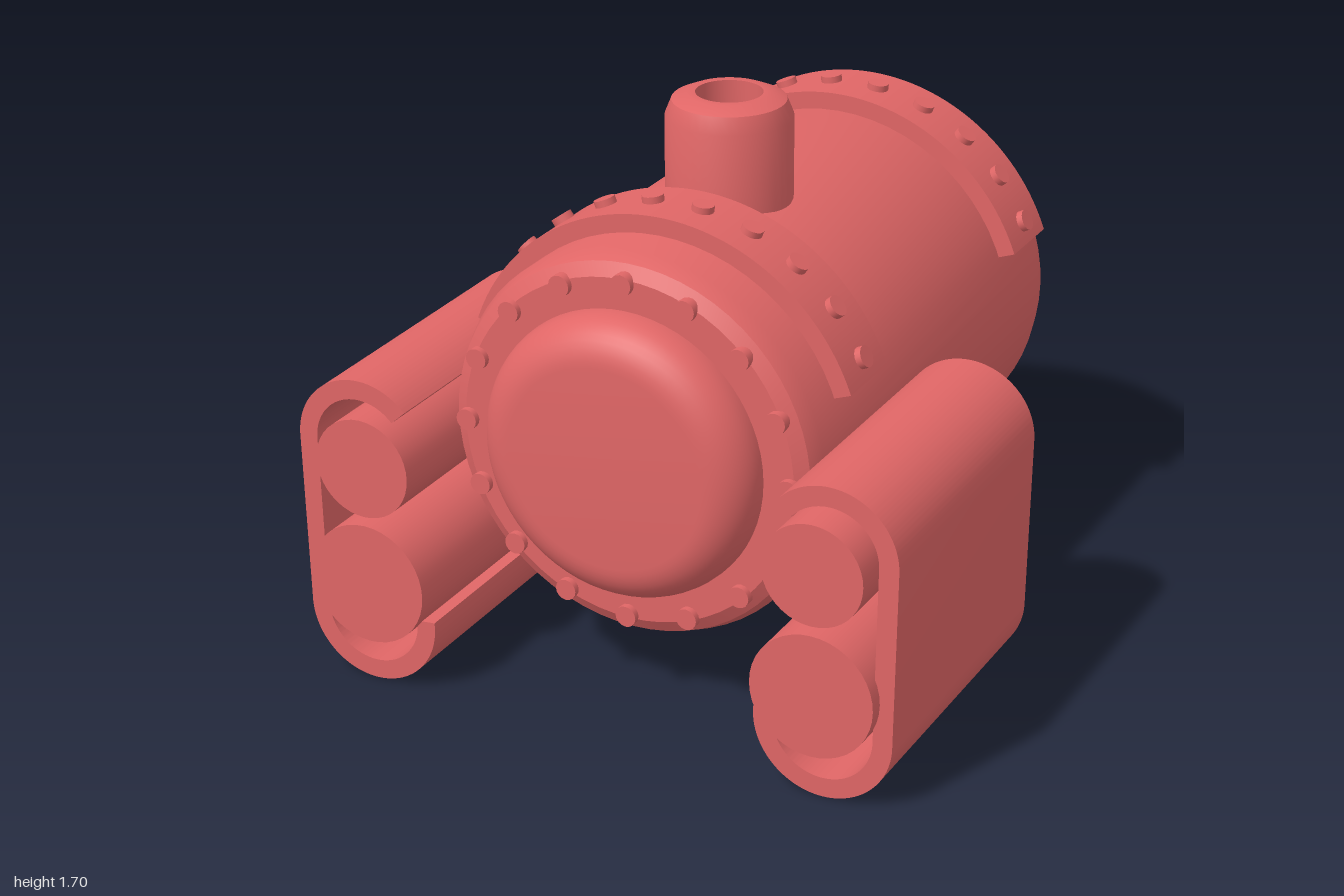
import * as THREE from 'three';
import { toCreasedNormals } from 'three/addons/utils/BufferGeometryUtils.js';

const material = new THREE.MeshStandardMaterial({ color: 0xe06666 });
const AXIS_Y = 0.81;   // height of the boiler axis
const BODY_R = 0.595;

function add(parent, name, geometry, x = 0, y = 0, z = 0) {
  const mesh = new THREE.Mesh(geometry, material);
  mesh.name = name;
  mesh.position.set(x, y, z);
  parent.add(mesh);
  return mesh;
}

// Turned part from [radius, height] pairs, bottom to top
function turned(profile, segments) {
  const points = profile.map(([r, h]) => new THREE.Vector2(r, h));
  return toCreasedNormals(new THREE.LatheGeometry(points, segments), 0.45);
}

// Extruded outline, centred on z
function slab(shape, depth) {
  const g = new THREE.ExtrudeGeometry(shape, { depth, bevelEnabled: false, curveSegments: 40 });
  g.translate(0, 0, -depth / 2);
  return toCreasedNormals(g, 0.5);
}

// Riveted saddle band over the top of the boiler
function createBand(z) {
  const band = new THREE.Group();
  band.name = 'rivetedBand';
  band.position.set(0, AXIS_Y, z);
  const start = THREE.MathUtils.degToRad(20);
  const shape = new THREE.Shape();
  shape.absarc(0, 0, 0.65, start, Math.PI - start, false);
  shape.absarc(0, 0, BODY_R - 0.01, Math.PI - start, start, true);
  shape.closePath();
  add(band, 'bandStrap', slab(shape, 0.24));

  const rivet = new THREE.CylinderGeometry(0.033, 0.033, 0.04, 16);
  for (let i = 0; i < 10; i++) {
    const a = THREE.MathUtils.degToRad((i - 4.5) * 14.2);
    const m = add(band, 'bandRivet', rivet, Math.sin(a) * 0.65, Math.cos(a) * 0.65, 0);
    m.rotation.z = -a;
  }
  return band;
}

// Two tanks held in a curled C-shaped shell
function createSidePod(name) {
  const pod = new THREE.Group();
  pod.name = name;
  const topEnd = THREE.MathUtils.degToRad(138);
  const lowEnd = -THREE.MathUtils.degToRad(185);
  const shape = new THREE.Shape();
  shape.absarc(0.74, 0.217, 0.215, lowEnd, 0, false);
  shape.absarc(0.755, 0.76, 0.21, 0, topEnd, false);
  shape.absarc(0.755, 0.76, 0.15, topEnd, 0, true);
  shape.absarc(0.74, 0.217, 0.155, 0, lowEnd, true);
  shape.closePath();
  add(pod, 'podShell', slab(shape, 0.945));

  for (const [tank, r, y] of [['upperTank', 0.155, 0.715], ['lowerTank', 0.19, 0.34]]) {
    const g = new THREE.CylinderGeometry(r, r, 1.035, 40);
    g.rotateX(Math.PI / 2);
    add(pod, tank, g, 0.725, y, 0);
  }
  pod.position.z = 0.4825;
  return pod;
}

export function createModel() {
  const model = new THREE.Group();
  model.name = 'boiler';

  // Main barrel with bevelled ends
  const barrel = turned([
    [0, -1], [0.54, -1], [0.575, -0.98], [BODY_R, -0.91],
    [BODY_R, 0.65], [0.575, 0.7], [0.535, 0.725], [0, 0.725],
  ], 64);
  barrel.rotateX(Math.PI / 2);
  add(model, 'barrel', barrel, 0, AXIS_Y, 0);

  // Rounded front door
  const doorProfile = [[0.44, 0.7]];
  for (let i = 0; i <= 10; i++) {
    const a = (i / 10) * Math.PI / 2;
    doorProfile.push([0.31 + 0.13 * Math.cos(a), 0.73 + 0.13 * Math.sin(a)]);
  }
  doorProfile.push([0, 0.86]);
  const door = turned(doorProfile, 64);
  door.rotateX(Math.PI / 2);
  add(model, 'frontDoor', door, 0, AXIS_Y, 0);

  // Ring of rivets around the door
  const rivet = new THREE.CylinderGeometry(0.033, 0.033, 0.04, 16);
  rivet.rotateX(Math.PI / 2);
  for (let i = 0; i < 16; i++) {
    const a = (i / 16) * Math.PI * 2;
    add(model, 'doorRivet', rivet, Math.cos(a) * 0.523, AXIS_Y + Math.sin(a) * 0.523, 0.725);
  }

  // Saddle bands
  model.add(createBand(0.4), createBand(-0.78));

  // Hollow chimney
  const chimney = turned([
    [0.19, 1.3], [0.19, 1.63], [0.17, 1.68], [0.125, 1.7],
    [0.1, 1.7], [0.1, 1.5], [0, 1.5],
  ], 40);
  add(model, 'chimney', chimney, 0, 0, 0.08);

  // Side pods, the second one turned half round
  const leftPod = createSidePod('leftPod');
  const rightPod = createSidePod('rightPod');
  rightPod.rotation.y = Math.PI;
  model.add(leftPod, rightPod);

  return model;
}
